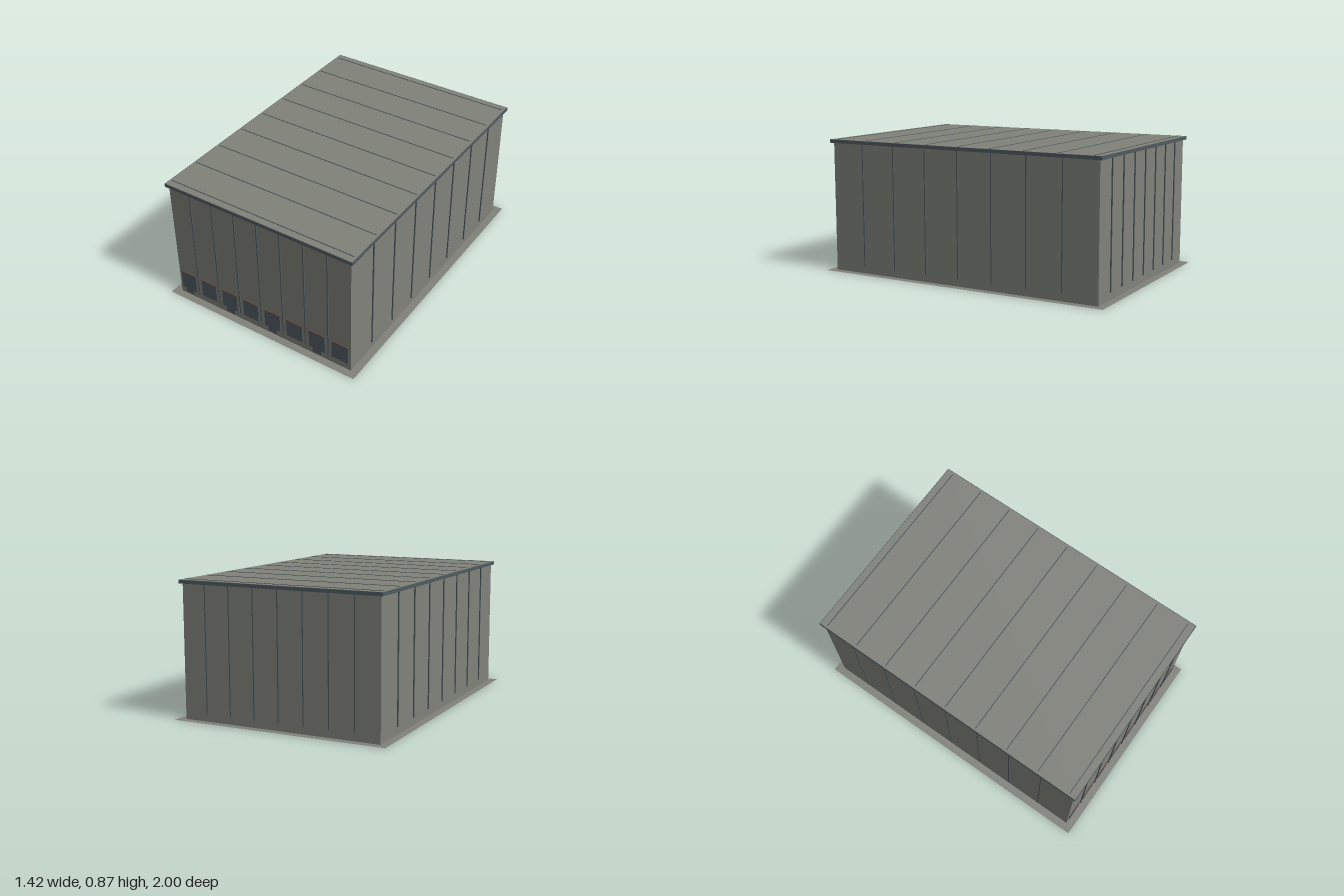
import * as THREE from 'three';

export function createModel() {
  const model = new THREE.Group();
  model.name = 'warehouse';
  const mat = (name, color, side = THREE.FrontSide) => {
    const m = new THREE.MeshStandardMaterial({ color, side });
    m.name = name;
    return m;
  };
  const panel = mat('panelGrey', 0x80827a, THREE.DoubleSide);
  const trim = mat('slateTrim', 0x4f5a60);
  const brown = mat('darkBrown', 0x67443c, THREE.DoubleSide);

  const add = (name, geo, material, x = 0, y = 0, z = 0) => {
    const mesh = new THREE.Mesh(geo, material);
    mesh.name = name;
    mesh.position.set(x, y, z);
    model.add(mesh);
    return mesh;
  };
  const box = (name, w, h, d, material, x, y, z) =>
    add(name, new THREE.BoxGeometry(w, h, d), material, x, y, z);

  const X = 0.66, Z = 0.95, TOP = 0.847, SEAM_LOW = 0.05;

  // Flat ground apron with an opening under the hall
  const rect = (T, x, z) => new T([[-x, -z], [x, -z], [x, z], [-x, z]].map(p => new THREE.Vector2(...p)));
  const apron = rect(THREE.Shape, 0.71, 1);
  apron.holes.push(rect(THREE.Path, X, Z));
  add('apron', new THREE.ShapeGeometry(apron).rotateX(-Math.PI / 2), panel, 0, 0.001);

  // Four walls, open below, with a floor raised inside
  for (const s of [-1, 1]) {
    add('endWall', new THREE.PlaneGeometry(2 * X, TOP), panel, 0, TOP / 2, s * Z).rotation.y = s > 0 ? 0 : Math.PI;
    add('sideWall', new THREE.PlaneGeometry(2 * Z, TOP), panel, s * X, TOP / 2, 0).rotation.y = s * Math.PI / 2;
  }
  add('floor', new THREE.PlaneGeometry(2 * X, 2 * Z).rotateX(Math.PI / 2), brown, 0, 0.035);

  // Wall panel seams
  const seamH = TOP - SEAM_LOW, seamY = (TOP + SEAM_LOW) / 2;
  for (let i = -3; i <= 3; i++) {
    for (const s of [-1, 1]) {
      box('endSeam', 0.007, seamH, 0.007, trim, i / 6, seamY, s * (Z + 0.0035));
      box('sideSeam', 0.007, seamH, 0.007, trim, s * (X + 0.0035), seamY, i * 0.239);
    }
  }

  // Roof edge trim, roof sheet and its seams
  box('roofTrim', 1.356, 0.022, 1.936, trim, 0, 0.857, 0);
  box('roofSheet', 1.348, 0.002, 1.928, panel, 0, 0.868, 0);
  for (let i = -4; i <= 4; i++) box('roofSeam', 1.32, 0.003, 0.006, trim, 0, 0.87, i * 0.2293);

  // Loading doors with lintels; every second one has a dock plate
  for (let i = 0; i < 8; i++) {
    const x = (i - 3.5) / 6;
    box('loadingDoor', 0.117, 0.125, 0.004, trim, x, 0.1125, Z + 0.002);
    box('doorLintel', 0.117, 0.005, 0.006, brown, x, 0.1775, Z + 0.003);
    if (i % 2 === 0) box('dockPlate', 0.065, 0.035, 0.004, trim, x, 0.0325, Z + 0.002);
  }
  return model;
}
